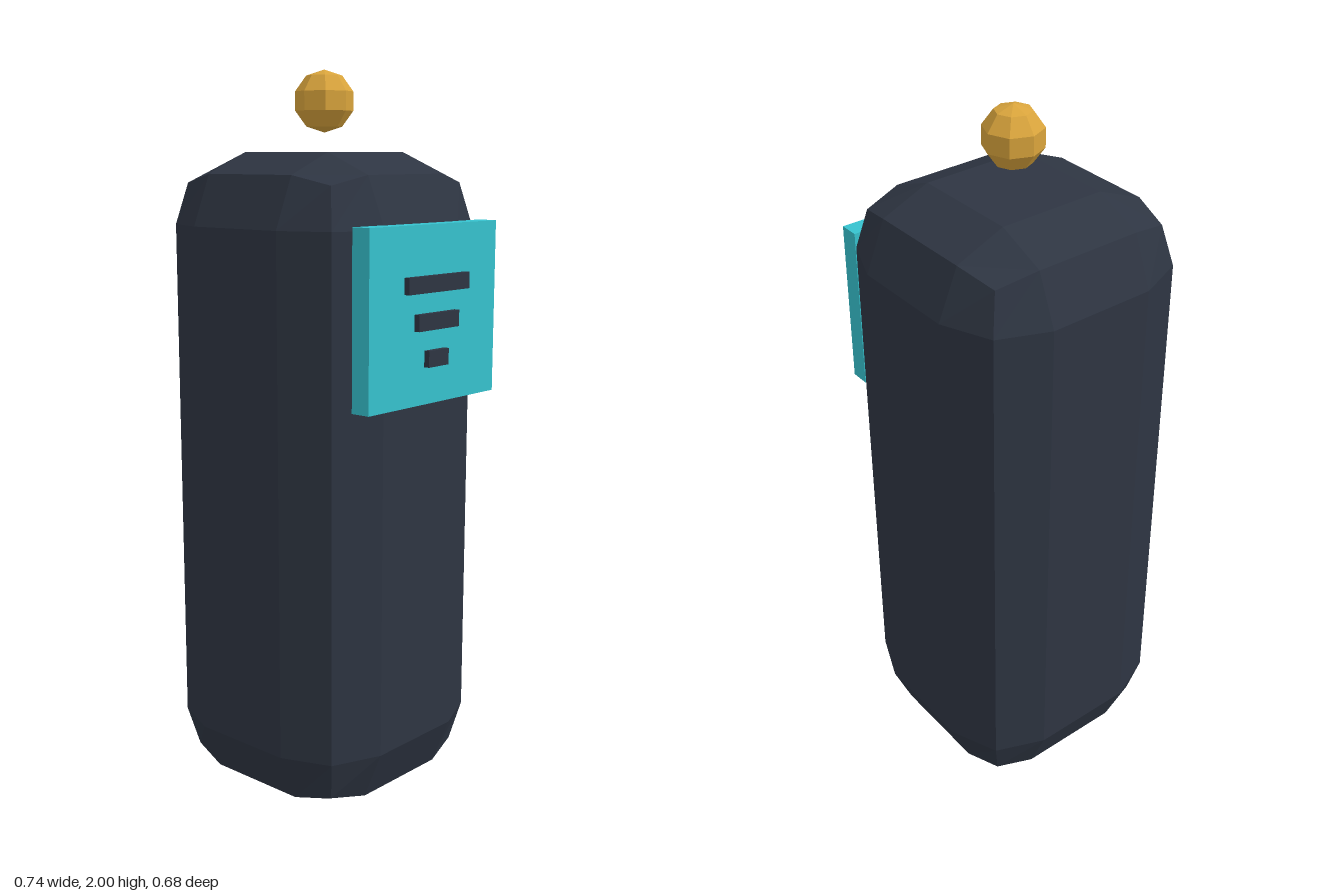
import * as THREE from 'three';
import { RoundedBoxGeometry } from 'three/addons/geometries/RoundedBoxGeometry.js';

function material(name, color) {
  const m = new THREE.MeshStandardMaterial({ color });
  m.name = name;
  return m;
}

// Gives every facet its own flat normal.
function faceted(geometry) {
  const g = geometry.index ? geometry.toNonIndexed() : geometry;
  g.computeVertexNormals();
  return g;
}

export function createModel() {
  const slate = material('slate', 0x2e3542);
  const teal = material('teal', 0x36c2ce);
  const gold = material('gold', 0xd9a43c);

  const model = new THREE.Group();
  model.name = 'capsuleRobot';

  const add = (name, geometry, mat, x, y, z = 0) => {
    const mesh = new THREE.Mesh(geometry, mat);
    mesh.name = name;
    mesh.position.set(x, y, z);
    model.add(mesh);
  };

  // Tall body with single-facet bevels
  const bodyX = -0.03;
  const bodyHeight = 1.785;
  add('body', faceted(new RoundedBoxGeometry(0.682, bodyHeight, 0.682, 1, 0.191)), slate, bodyX, bodyHeight / 2);

  // Ball floating above the body
  add('floatingBall', faceted(new THREE.SphereGeometry(0.082, 8, 5)), gold, bodyX, 1.918);

  // Display panel on the left side
  add('panel', new THREE.BoxGeometry(0.055, 0.461, 0.52), teal, 0.3275, 1.376);

  // Three raised bars, shorter towards the bottom
  [[1.457, 0.25], [1.361, 0.166], [1.265, 0.082]].forEach(([y, length], i) => {
    add(`panelBar${i + 1}`, new THREE.BoxGeometry(0.02, 0.043, length), slate, 0.361, y);
  });

  return model;
}
